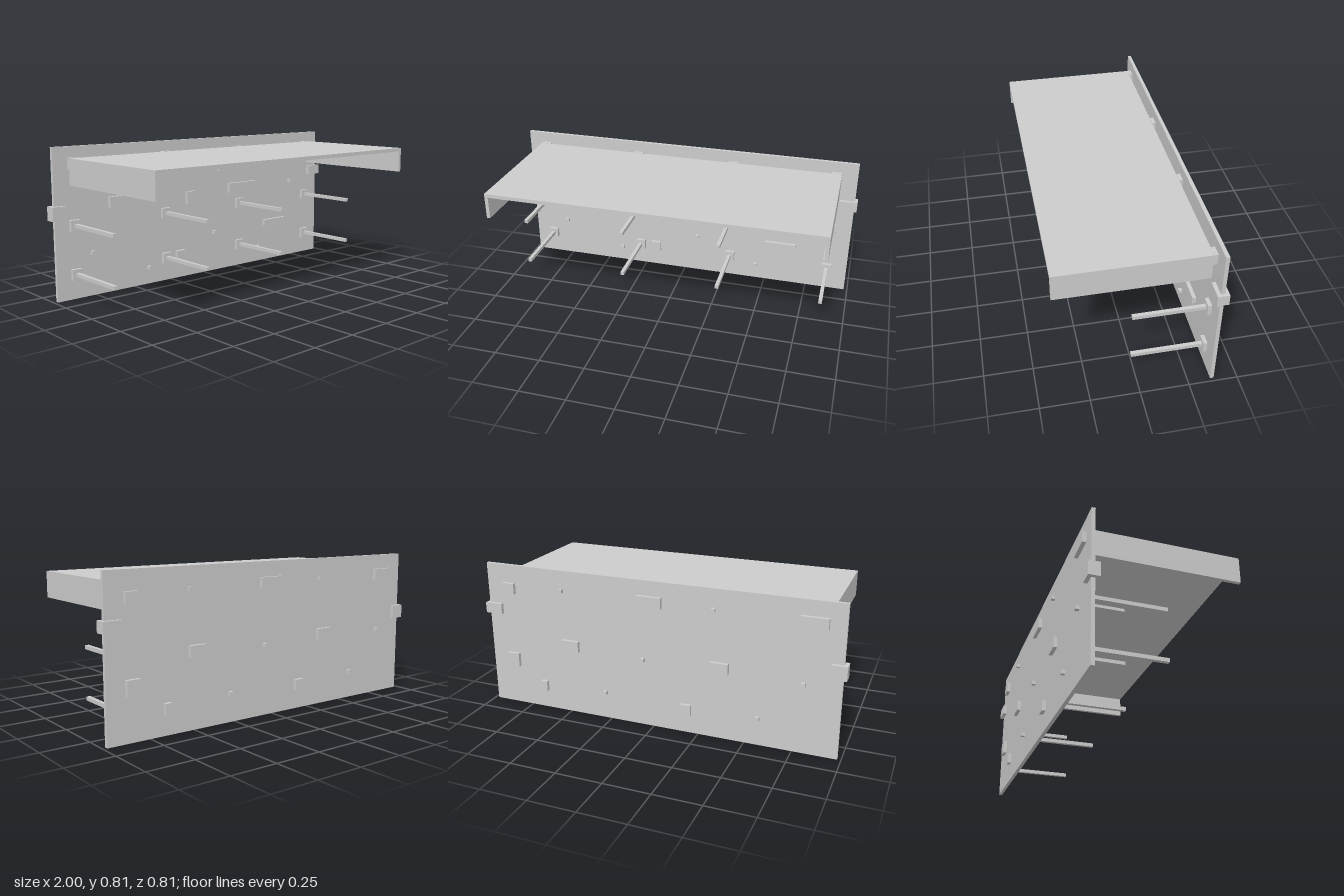
import * as THREE from 'three';

export function createModel() {
  const model = new THREE.Group();
  const material = new THREE.MeshStandardMaterial({ color: 0xcccccc, flatShading: true });

  // Box given by its extents on each axis
  function box(name, [x0, x1], [y0, y1], [z0, z1], parent = model) {
    const mesh = new THREE.Mesh(new THREE.BoxGeometry(x1 - x0, y1 - y0, z1 - z0), material);
    mesh.position.set((x0 + x1) / 2, (y0 + y1) / 2, (z0 + z1) / 2);
    mesh.name = name;
    parent.add(mesh);
    return mesh;
  }
  const around = (c, size) => [c - size / 2, c + size / 2];

  // Depth ranges of the layers
  const FRONT = [-0.364, -0.344];
  const PANEL = [-0.383, -0.364];
  const BACK = [-0.403, -0.383];
  const THROUGH = [-0.403, -0.344];

  // Wall panel
  box('wallPanel', [-0.981, 0.981], [0, 0.809], PANEL);

  // Canopy: a channel section with two short side flanges
  const profile = new THREE.Shape();
  [[-0.898, 0.609], [-0.879, 0.609], [-0.879, 0.729], [0.874, 0.729],
    [0.874, 0.609], [0.893, 0.609], [0.893, 0.749], [-0.898, 0.749]]
    .forEach(([x, y], i) => (i ? profile.lineTo(x, y) : profile.moveTo(x, y)));
  const canopy = new THREE.Mesh(
    new THREE.ExtrudeGeometry(profile, { depth: 0.749, bevelEnabled: false }), material);
  canopy.position.z = -0.344;
  canopy.name = 'canopy';
  model.add(canopy);

  // Three rows of rods on square mounting plates
  for (const y of [0.134, 0.396, 0.721]) {
    for (const x of [-0.87, -0.284, 0.281, 0.865]) {
      const bracket = new THREE.Group();
      bracket.name = 'rodBracket';
      box('mountingPlate', around(x, 0.057), around(y, 0.059), FRONT, bracket);
      box('rod', around(x, 0.02), around(y, 0.02), [-0.344, 0.021], bracket);
      model.add(bracket);
    }
  }

  // Raised blocks on the front
  [
    [[-0.66, -0.438], [0.467, 0.526]],
    [[0.192, 0.411], [0.467, 0.526]],
    [[0.491, 0.673], [0.227, 0.264]],
    [[-0.134, -0.075], [0.43, 0.505]],
    [[-0.214, -0.155], [0.104, 0.163]],
  ].forEach(([x, y]) => box('frontBlock', x, y, FRONT));

  // Raised blocks on the back
  [
    [[0.81, 0.88], [0.65, 0.71]],
    [[-0.05, 0.085], [0.67, 0.729]],
    [[-0.898, -0.76], [0.67, 0.729]],
    [[0.432, 0.53], [0.366, 0.425]],
    [[-0.412, -0.315], [0.366, 0.425]],
    [[0.81, 0.88], [0.226, 0.304]],
    [[0.638, 0.675], [0.103, 0.163]],
    [[-0.212, -0.155], [0.103, 0.163]],
  ].forEach(([x, y]) => box('backBlock', x, y, BACK));

  // Clips wrapping the panel's side edges
  box('rightEdgeClip', [-1, -0.924], [0.43, 0.505], THROUGH);
  box('leftEdgeClip', [0.897, 0.996], [0.527, 0.585], THROUGH);

  // Small pegs on both faces
  [[-0.73, 0.62], [0.12, 0.62], [0.703, 0.68], [0.724, 0.497],
    [-0.769, 0.236], [0.077, 0.236], [-0.406, 0.094], [0.44, 0.094]]
    .forEach(([x, y]) => box('frontPeg', around(x, 0.02), around(y, 0.02), FRONT));
  [[0.524, 0.7], [-0.327, 0.7], [0.058, 0.376], [-0.793, 0.376], [0.281, 0.152], [-0.57, 0.152]]
    .forEach(([x, y]) => box('backPeg', around(x, 0.02), around(y, 0.02), BACK));

  return model;
}
